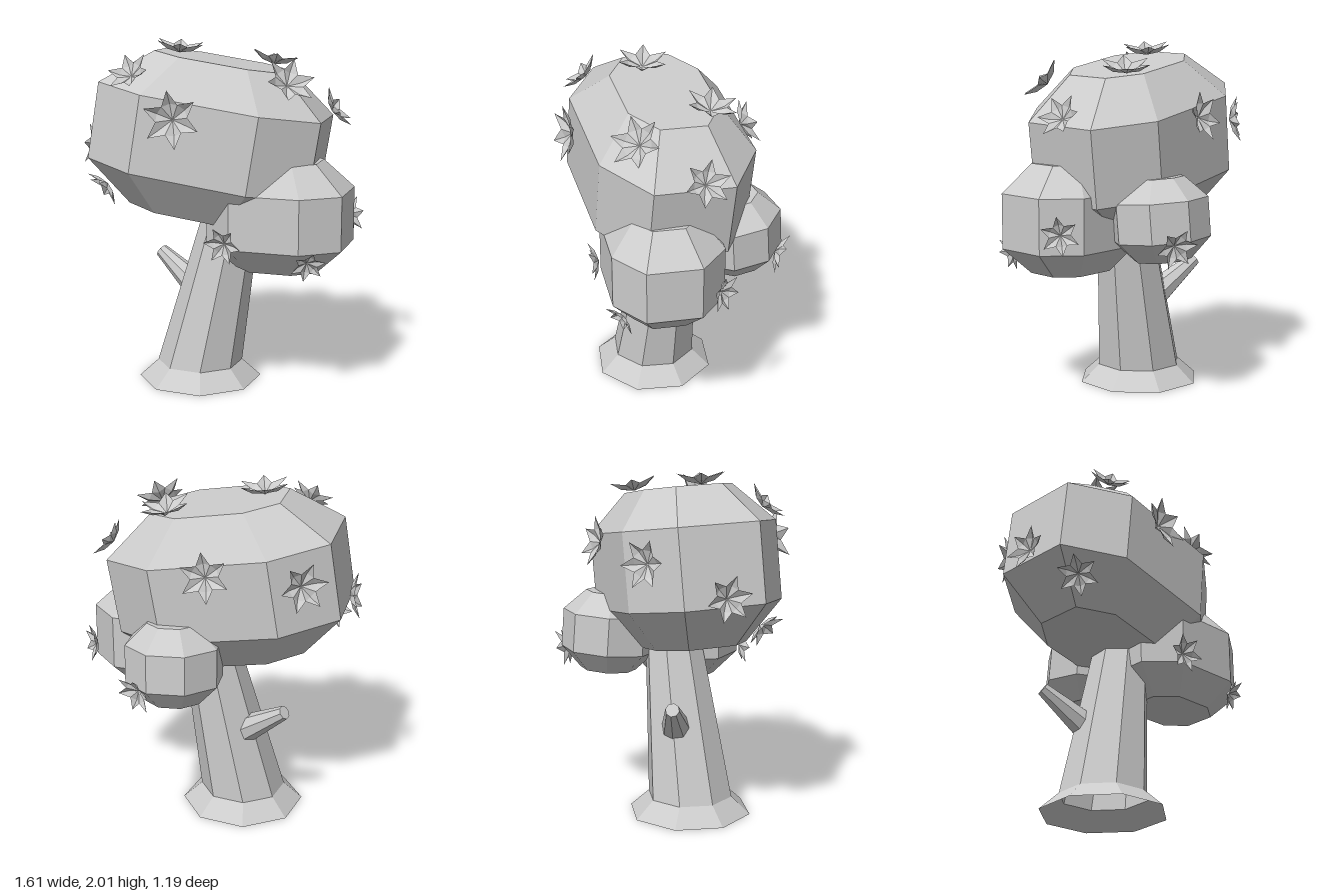
import * as THREE from 'three';

const material = new THREE.MeshStandardMaterial({ color: 0xcccccc, flatShading: true, side: THREE.DoubleSide });

function addMesh(parent, name, geometry) {
  const mesh = new THREE.Mesh(geometry, material);
  mesh.name = name;
  parent.add(mesh);
  return mesh;
}

// Four [x, z] corners, mirrored through the centre into an eight-sided outline
const octagon = half => [...half, ...half.map(([x, z]) => [-x, -z])];
const regular = r => octagon([0, 1, 2, 3].map(i => {
  const a = i * Math.PI / 4;
  return [Math.sin(a) * r, Math.cos(a) * r];
}));

// Stack scaled copies of an outline; each layer is [y, scale, x shift]
function stack(outline, layers, capped) {
  const n = outline.length, positions = [], index = [];
  for (const [y, s, dx = 0] of layers)
    for (const [x, z] of outline) positions.push(x * s + dx, y, z * s);
  for (let i = 0; i < layers.length - 1; i++)
    for (let j = 0; j < n; j++) {
      const a = i * n + j, b = i * n + (j + 1) % n;
      index.push(a, b, b + n, a, b + n, a + n);
    }
  if (capped) {
    const top = (layers.length - 1) * n;
    for (let j = 1; j < n - 1; j++) {
      index.push(0, j + 1, j);
      index.push(top, top + j, top + j + 1);
    }
  }
  const geometry = new THREE.BufferGeometry();
  geometry.setAttribute('position', new THREE.Float32BufferAttribute(positions, 3));
  geometry.setIndex(index);
  geometry.computeVertexNormals();
  return geometry;
}

// Six folded, pointed petals in a shallow cup opening along +y, radius 1
function flowerGeometry() {
  const positions = [];
  const point = (r, a, y) => [Math.sin(a) * r, y, Math.cos(a) * r];
  const centre = [0, 0, 0];
  for (let i = 0; i < 6; i++) {
    const a = i * Math.PI / 3, h = Math.PI / 6;
    const tip = point(1, a, 0.42), ridge = point(0.55, a, 0.12);
    const left = point(0.55, a - h, 0.26), right = point(0.55, a + h, 0.26);
    for (const t of [[centre, left, ridge], [left, tip, ridge], [centre, ridge, right], [ridge, tip, right]])
      for (const p of t) positions.push(...p);
  }
  const geometry = new THREE.BufferGeometry();
  geometry.setAttribute('position', new THREE.Float32BufferAttribute(positions, 3));
  geometry.computeVertexNormals();
  return geometry;
}

export function createModel() {
  const tree = new THREE.Group();
  tree.name = 'tree';
  const up = new THREE.Vector3(0, 1, 0);

  // Leaning trunk with a flared foot
  addMesh(tree, 'trunk', stack(regular(1), [[0, 0.36, -0.14], [0.1, 0.25, -0.14], [1.2, 0.15, 0.09]], false));

  // Cut branch stub
  const from = new THREE.Vector3(-0.08, 0.46, -0.05), to = new THREE.Vector3(-0.375, 0.705, -0.26);
  const direction = to.clone().sub(from);
  const stub = addMesh(tree, 'branchStub', new THREE.CylinderGeometry(0.04, 0.1, direction.length(), 8));
  stub.position.copy(from).lerp(to, 0.5);
  stub.quaternion.setFromUnitVectors(up, direction.normalize());

  // Large tilted crown
  const crown = addMesh(tree, 'mainCrown', stack(
    octagon([[0.22, 0.5], [0.57, 0.36], [0.68, -0.08], [0.43, -0.36]]),
    [[-0.45, 0.6], [-0.22, 1], [0.22, 1], [0.44, 0.58]], true));
  crown.position.set(-0.07, 1.45, 0);
  crown.rotation.z = -0.157;

  // Front foliage clump
  const front = addMesh(tree, 'frontFoliage', stack(
    octagon([[0.08, 0.35], [0.32, 0.27], [0.42, -0.02], [0.3, -0.23]]),
    [[0.73, 0.6], [0.88, 1], [1.19, 1], [1.35, 0.58]], true));
  front.position.set(0.32, 0, 0.2);

  // Small back foliage clump
  const back = addMesh(tree, 'backFoliage', stack(
    regular(0.28), [[-0.23, 0.58], [-0.11, 1], [0.11, 1], [0.23, 0.55]], true));
  back.position.set(0.25, 1.05, -0.31);
  back.rotation.set(0.08, 0.25, 0);

  // Flowers: position, facing direction, radius
  const flowers = [
    [[-0.25, 1.93, 0], [0.1, 1, 0], 0.15],
    [[0.29, 1.85, -0.12], [0.2, 1, -0.1], 0.15],
    [[0.34, 1.78, 0.34], [0.35, 0.65, 0.65], 0.15],
    [[0.61, 1.61, 0.1], [0.8, 0.55, 0.15], 0.13],
    [[-0.51, 1.82, 0.23], [-0.4, 0.7, 0.55], 0.13],
    [[-0.28, 1.61, 0.43], [-0.15, 0.12, 1], 0.16],
    [[0.07, 1.6, -0.46], [0.15, 0.25, -1], 0.14],
    [[-0.44, 1.55, -0.45], [-0.4, 0.1, -1], 0.14],
    [[-0.73, 1.38, -0.14], [-1, 0.1, -0.2], 0.13],
    [[-0.66, 1.2, 0.13], [-0.7, -0.6, 0.3], 0.12],
    [[0, 0.92, 0.43], [-0.4, -0.15, 0.9], 0.11],
    [[0.45, 0.83, 0.51], [0.15, -0.45, 0.85], 0.1],
    [[0.72, 1, 0.06], [0.9, 0, -0.35], 0.11],
    [[0.44, 0.94, -0.48], [0.6, -0.3, -0.7], 0.12],
  ];
  const geometry = flowerGeometry();
  flowers.forEach(([position, facing, radius], i) => {
    const flower = addMesh(tree, `flower${i + 1}`, geometry);
    flower.position.set(...position);
    flower.quaternion.setFromUnitVectors(up, new THREE.Vector3(...facing).normalize());
    flower.scale.setScalar(radius);
  });

  return tree;
}
